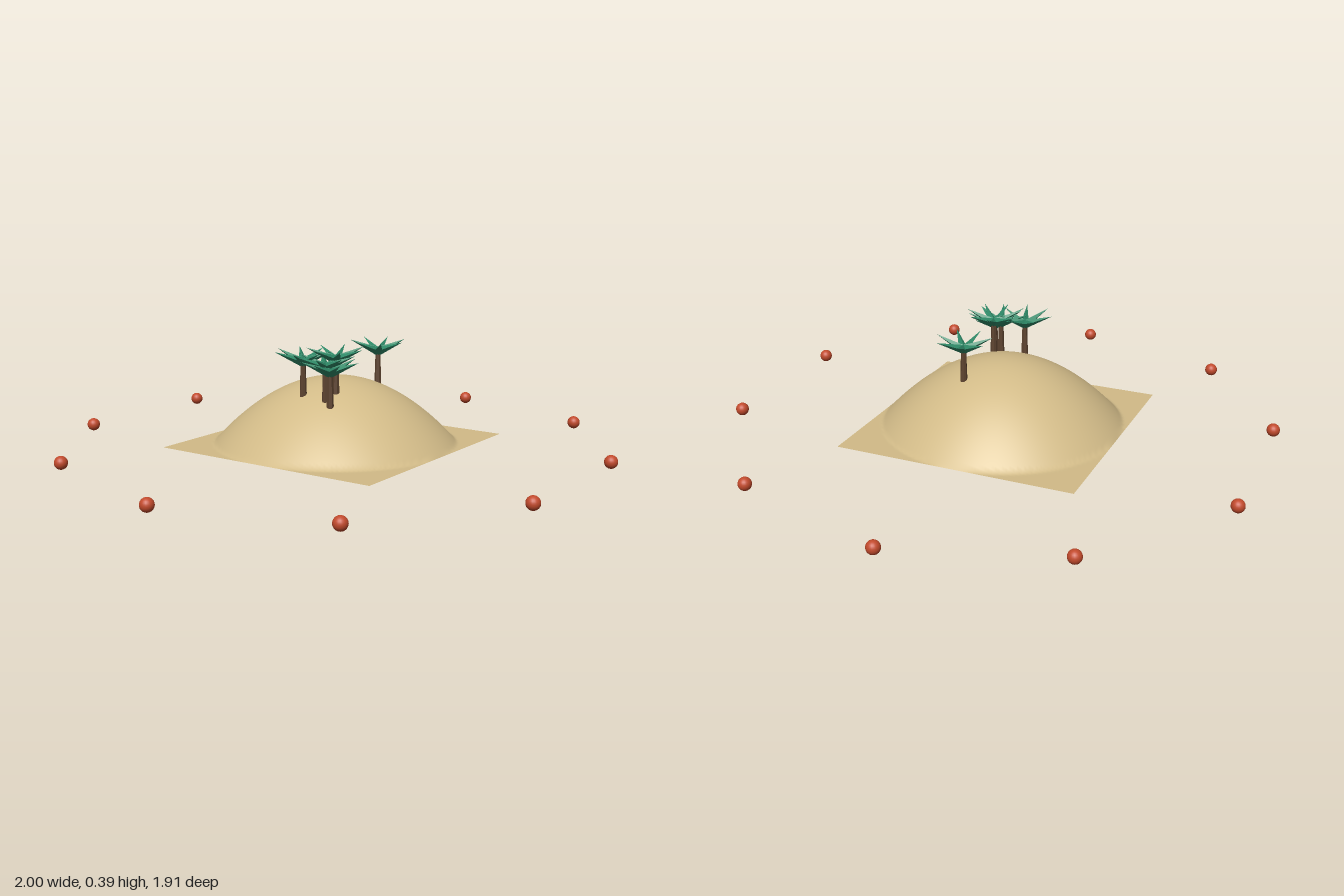
import * as THREE from 'three';

const paint = (name, color, extra = {}) => {
  const m = new THREE.MeshStandardMaterial({ color, ...extra });
  m.name = name;
  return m;
};

const BASE = 0.03, RISE = 0.237, RADIUS = 0.436;

// Parabolic dune on a flat square
const groundHeight = (x, z) =>
  BASE + RISE * Math.max(0, 1 - (x * x + z * z) / (RADIUS * RADIUS));

export function createModel() {
  const sand = paint('sand', 0xd2bb88, { side: THREE.DoubleSide });
  const bark = paint('bark', 0x5e4430, { flatShading: true });
  const leaf = paint('leaf', 0x2f8a68, { flatShading: true });
  const red = paint('buoy red', 0xc24a2c);

  const model = new THREE.Group();
  model.name = 'island';

  const add = (parent, name, geometry, material, x = 0, y = 0, z = 0) => {
    const mesh = new THREE.Mesh(geometry, material);
    mesh.name = name;
    mesh.position.set(x, y, z);
    parent.add(mesh);
    return mesh;
  };

  // Sand sheet, hollow underneath
  const sheet = new THREE.PlaneGeometry(2 * RADIUS, 2 * RADIUS, 80, 80).rotateX(-Math.PI / 2);
  const p = sheet.attributes.position;
  for (let i = 0; i < p.count; i++) p.setY(i, groundHeight(p.getX(i), p.getZ(i)));
  sheet.computeVertexNormals();
  add(model, 'sandDune', sheet, sand);

  // Palms: a tapered trunk and a crown of upward-tilted pointed fronds
  const trunkGeo = new THREE.CylinderGeometry(0.009, 0.013, 0.132, 7).translate(0, 0.056, 0);
  const from = new THREE.Vector3(0, 0.117, 0);
  const tip = new THREE.Vector3(0.102, 0.158, 0);
  const length = from.distanceTo(tip);
  const frondGeo = new THREE.ConeGeometry(0.016, length, 4)
    .translate(0, length / 2, 0)
    .rotateZ(-Math.atan2(tip.x - from.x, tip.y - from.y))
    .translate(from.x, from.y, from.z);
  const FRONDS = 7;

  const palms = [
    [-0.18, -0.01, 1.65],
    [-0.125, 0.09, 0.3],
    [-0.195, 0.115, 1.4],
    [-0.18, 0.085, 0.75],
    [0.15, 0.083, -Math.PI / 2],
  ];
  palms.forEach(([x, z, turn]) => {
    const palm = new THREE.Group();
    palm.name = 'palm';
    palm.position.set(x, groundHeight(x, z) - 0.003, z);
    palm.rotation.y = turn;
    add(palm, 'trunk', trunkGeo, bark);
    for (let i = 0; i < FRONDS; i++) {
      add(palm, 'frond', frondGeo, leaf).rotation.y = (i / FRONDS) * Math.PI * 2;
    }
    model.add(palm);
  });

  // Ring of floating buoys
  const buoyGeo = new THREE.SphereGeometry(0.0235, 20, 14);
  const buoys = [
    [-0.976, 0.007], [0.976, -0.007], [-0.785, -0.575], [0.79, -0.57], [-0.795, 0.577],
    [0.79, 0.573], [-0.307, -0.922], [0.3, -0.935], [-0.302, 0.93], [0.292, 0.93],
  ];
  buoys.forEach(([x, z]) => add(model, 'buoy', buoyGeo, red, x, 0.027, z));

  return model;
}
